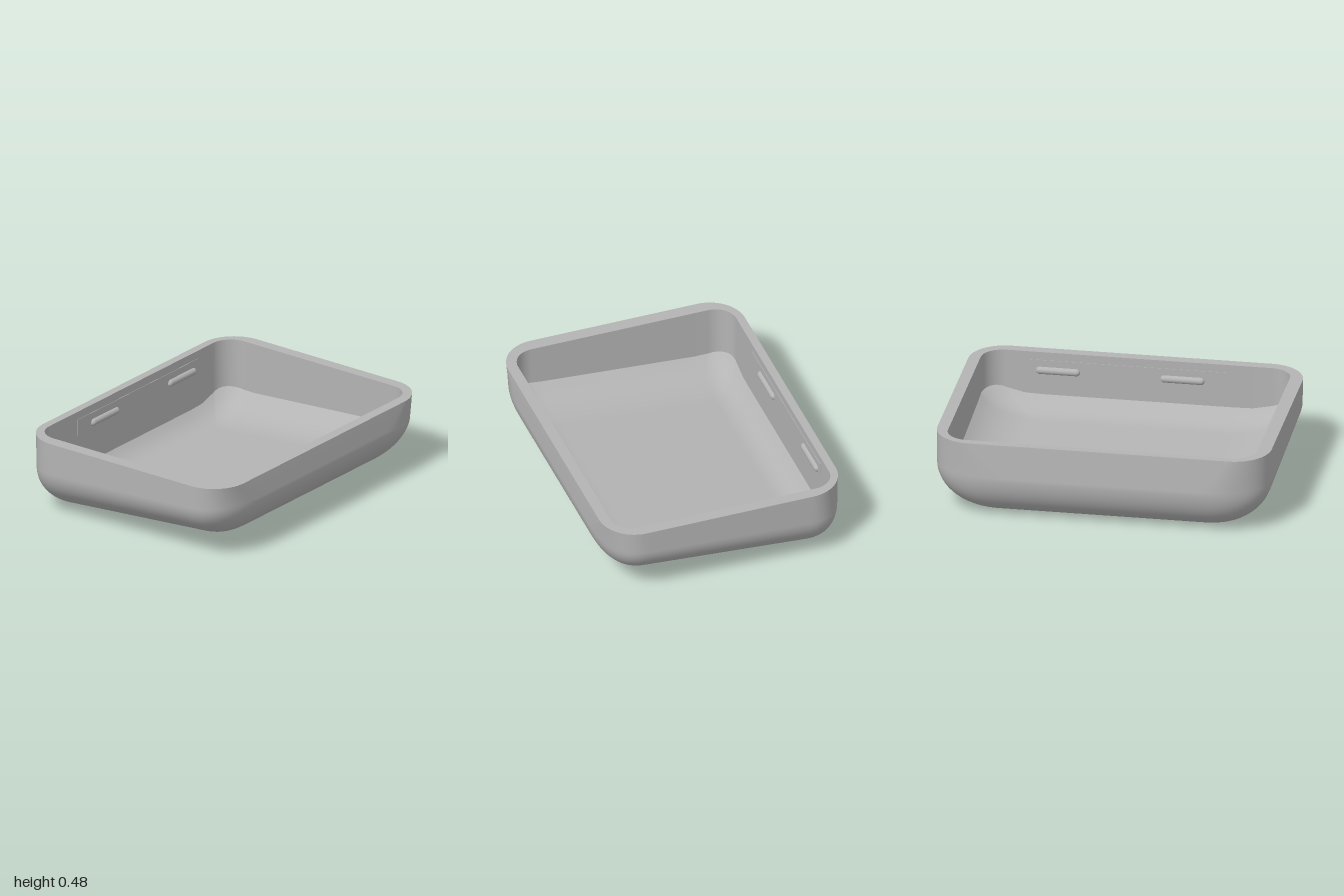
import * as THREE from 'three';

const CORNER = 14, SIDE = 14;           // points per rounded corner and per straight side
const FILLET = { x: 0.26, z: 0.4, p: 2.5 }; // underside edge rounding
const CORE = { x: 0.498, z: 0.6 };      // flat middle of the underside
const RIM_Y = 0.48;

const baseY = (x) => 0.046 + 0.082 * x; // sloping underside
const filletH = (x) => 0.265 - 0.033 * x;

// Height of the underside at (x, z)
function undersideY(x, z) {
  const ux = Math.max(0, Math.abs(x) - CORE.x) / FILLET.x;
  const uz = Math.max(0, Math.abs(z) - CORE.z) / FILLET.z;
  const u = Math.min(1, Math.pow(ux ** FILLET.p + uz ** FILLET.p, 1 / FILLET.p));
  return baseY(x) + filletH(x) * (1 - Math.sqrt(1 - u * u));
}

// Closed rounded rectangle: core half sizes plus corner radii
function ring(cx, cz, ax, az, rx, rz, p, yOf) {
  const corners = [[1, 1], [-1, 1], [-1, -1], [1, -1]];
  const pts = [];
  const bend = (v) => Math.sign(v) * Math.pow(Math.abs(v), 2 / p);
  const at = (q, i) => {
    const t = (q + i / CORNER) * Math.PI / 2;
    return [cx + corners[q][0] * ax + rx * bend(Math.cos(t)),
      cz + corners[q][1] * az + rz * bend(Math.sin(t))];
  };
  for (let q = 0; q < 4; q++) {
    for (let i = 0; i <= CORNER; i++) pts.push(at(q, i));
    const a = at(q, CORNER), b = at((q + 1) % 4, 0);
    for (let k = 1; k < SIDE; k++) {
      const f = k / SIDE;
      pts.push([a[0] + (b[0] - a[0]) * f, a[1] + (b[1] - a[1]) * f]);
    }
  }
  return pts.map(([x, z]) => new THREE.Vector3(x, yOf(x, z), z));
}

// Skin joining successive rings
function loft(rings) {
  const n = rings[0].length, index = [];
  for (let r = 0; r < rings.length - 1; r++) {
    for (let j = 0; j < n; j++) {
      const k = (j + 1) % n, a = r * n, b = a + n;
      index.push(a + j, b + j, b + k, a + j, b + k, a + k);
    }
  }
  const g = new THREE.BufferGeometry().setFromPoints(rings.flat());
  g.setIndex(index);
  g.computeVertexNormals();
  return g;
}

export function createModel() {
  const group = new THREE.Group();
  const grey = new THREE.MeshStandardMaterial({ color: 0xb4b4b4 });
  grey.name = 'grey';
  const add = (name, geometry) => {
    const mesh = new THREE.Mesh(geometry, grey);
    mesh.name = name;
    group.add(mesh);
    return mesh;
  };

  const rimOuter = ring(0.0025, 0, 0.5225, 0.78, 0.22, 0.22, 2, () => RIM_Y);
  const innerRing = (s, yOf) =>
    ring(-0.005, -0.005, 0.555 * s, 0.795 * s, 0.13 * s, 0.13 * s, 2, yOf);
  const rimInner = innerRing(1, () => RIM_Y);
  const floorY = (x, z) => undersideY(x, z) + 0.04;

  // Outer shell: underside, rounded edge, then the wall up to the rim
  const shell = [rimOuter.map(() => new THREE.Vector3(0, baseY(0), 0))];
  const steps = 18;
  for (let i = 0; i <= steps; i++) {
    const a = Math.max(0.04, i / steps * Math.PI / 2), u = Math.sin(a);
    shell.push(ring(-0.0015, 0, CORE.x, CORE.z, FILLET.x * u, FILLET.z * u, FILLET.p,
      (x) => baseY(x) + filletH(x) * (1 - Math.cos(a))));
  }
  shell.push(rimOuter);
  add('outerShell', loft(shell));

  // Flat rim and inner wall
  add('rim', loft([rimOuter, rimInner]));
  add('innerWall', loft([rimInner, innerRing(1, floorY)]));

  // Dished floor
  const floor = [];
  for (let i = 0; i <= 30; i++) floor.push(innerRing(1 - i / 30, floorY));
  add('floor', loft(floor));

  // Snap ridges and their shallow backing strips on both long walls
  for (const side of [-1, 1]) {
    const wallX = -0.005 + side * 0.685;
    const label = side > 0 ? 'left' : 'right';
    add(label + 'Strip', new THREE.BoxGeometry(0.006, 0.1, 1.17))
      .position.set(wallX, 0.38, -0.07);
    for (const z of [-0.49, 0.255]) {
      const ridge = add(label + 'Ridge', new THREE.CapsuleGeometry(0.023, 0.22, 8, 16));
      ridge.rotation.x = Math.PI / 2;
      ridge.position.set(wallX, 0.365, z);
    }
  }
  return group;
}
